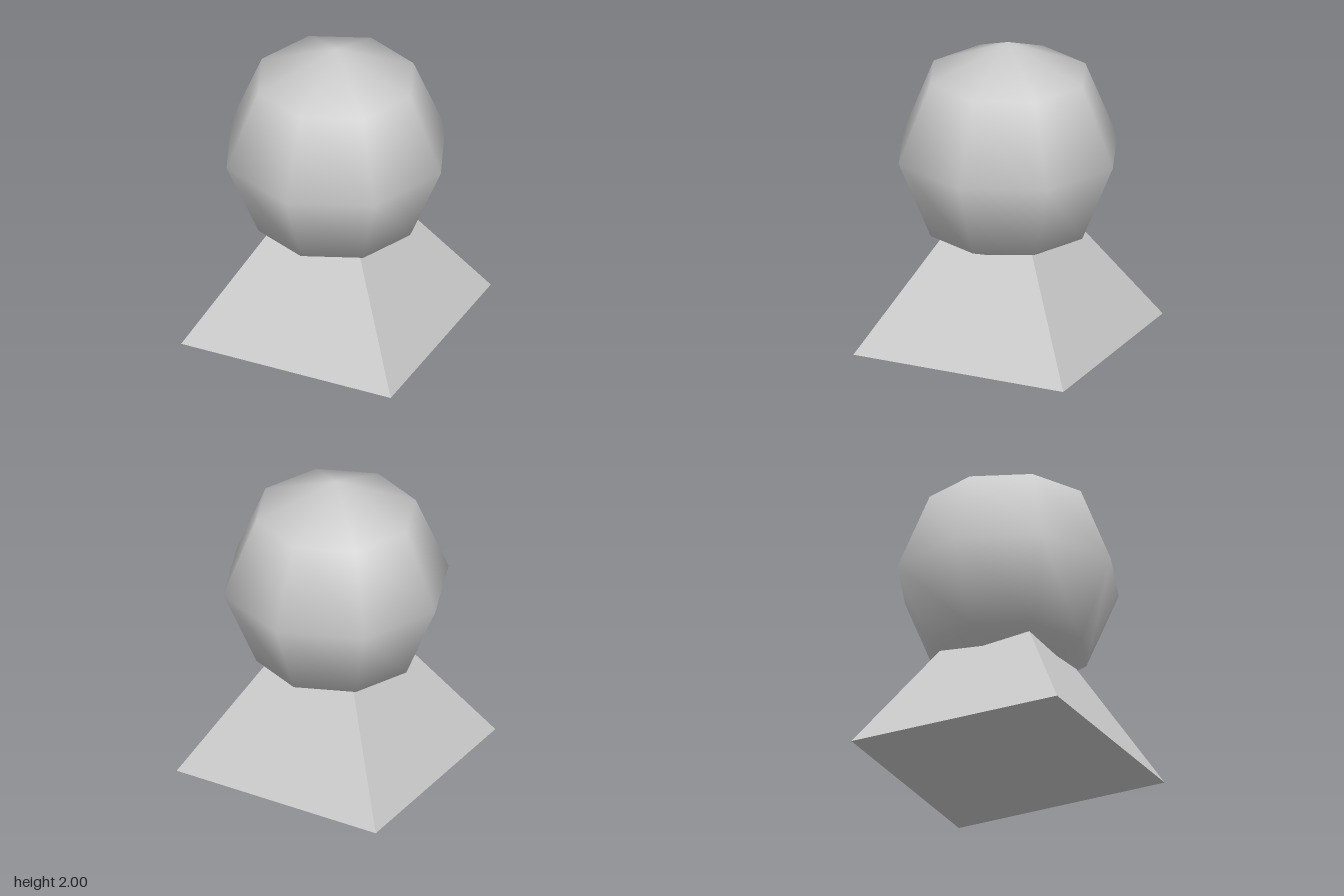
import * as THREE from 'three';

export function createModel() {
  const model = new THREE.Group();
  const radius = 0.737;
  const centreY = 2 - radius;

  const lightGrey = new THREE.MeshStandardMaterial({ color: 0xcccccc });
  lightGrey.name = 'lightGrey';

  // Square pyramid whose apex reaches the middle of the ball
  const baseGeometry = new THREE.ConeGeometry(radius * Math.SQRT2, centreY, 4)
    .rotateY(Math.PI / 4)
    .translate(0, centreY / 2, 0)
    .toNonIndexed();
  baseGeometry.computeVertexNormals();
  const base = new THREE.Mesh(baseGeometry, lightGrey);
  base.name = 'pyramidBase';

  // Coarse ball with smooth normals
  const ball = new THREE.Mesh(new THREE.SphereGeometry(radius, 8, 4), lightGrey);
  ball.name = 'ball';
  ball.position.y = centreY;

  model.add(base, ball);
  return model;
}
